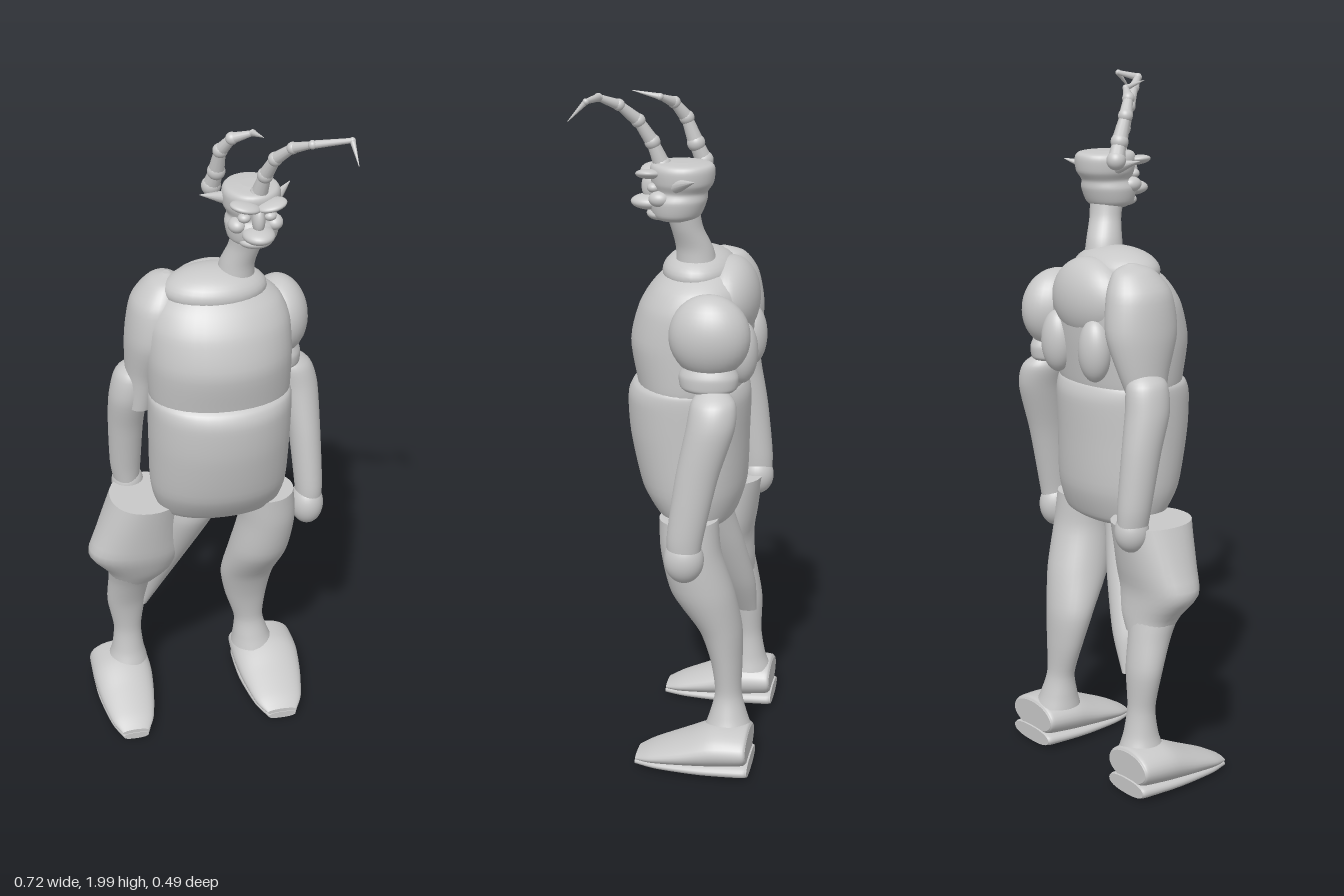
import * as THREE from 'three';

const grey = new THREE.MeshStandardMaterial({ color: 0xc8c8c8 });
grey.name = 'plain grey';

// Closed body through horizontal rings [x, y, z, radiusX, radiusZ], lowest first
function loft(rings, { power = 2, sides = 32, steps = 5 } = {}) {
  const centre = new THREE.CatmullRomCurve3(rings.map(r => new THREE.Vector3(r[0], r[1], r[2])), false, 'catmullrom', 0.4);
  const radii = new THREE.CatmullRomCurve3(rings.map(r => new THREE.Vector3(r[3], 0, r[4])), false, 'catmullrom', 0.4);
  const n = (rings.length - 1) * steps;
  const pos = [], idx = [];
  const round = v => Math.sign(v) * Math.pow(Math.abs(v), 2 / power);
  const addRing = i => {
    const c = centre.getPoint(i / n), r = radii.getPoint(i / n);
    for (let j = 0; j < sides; j++) {
      const t = (j / sides) * Math.PI * 2;
      pos.push(c.x + round(Math.cos(t)) * r.x, c.y, c.z + round(Math.sin(t)) * r.z);
    }
    return c;
  };
  for (let i = 0; i <= n; i++) addRing(i);
  for (let i = 0; i < n; i++) {
    for (let j = 0; j < sides; j++) {
      const a = i * sides + j, b = i * sides + (j + 1) % sides;
      idx.push(a, a + sides, b, b, a + sides, b + sides);
    }
  }
  // Flat end caps with their own vertices
  for (const end of [0, n]) {
    const start = pos.length / 3;
    const c = addRing(end);
    pos.push(c.x, c.y, c.z);
    for (let j = 0; j < sides; j++) {
      const a = start + j, b = start + (j + 1) % sides;
      if (end === 0) idx.push(start + sides, a, b);
      else idx.push(start + sides, b, a);
    }
  }
  const g = new THREE.BufferGeometry();
  g.setAttribute('position', new THREE.Float32BufferAttribute(pos, 3));
  g.setIndex(idx);
  g.computeVertexNormals();
  return g;
}

export function createModel() {
  const model = new THREE.Group();
  model.name = 'hornedFigure';

  const add = (name, geometry, parent = model) => {
    const m = new THREE.Mesh(geometry, grey);
    m.name = name;
    parent.add(m);
    return m;
  };
  const ball = (name, [x, y, z], [rx, ry, rz], parent = model) => {
    const m = add(name, new THREE.SphereGeometry(1, 32, 20), parent);
    m.position.set(x, y, z);
    m.scale.set(rx, ry, rz);
    return m;
  };
  // Tapered round bar between two points
  const bar = (name, from, to, r0, r1, parent = model) => {
    const a = new THREE.Vector3(...from), b = new THREE.Vector3(...to);
    const d = b.clone().sub(a);
    const m = add(name, new THREE.CylinderGeometry(r1, r0, d.length(), 12), parent);
    m.position.copy(a).add(b).multiplyScalar(0.5);
    m.quaternion.setFromUnitVectors(new THREE.Vector3(0, 1, 0), d.normalize());
    return m;
  };

  // Torso: belly, chest and collar
  add('belly', loft([
    [0.03, 0.745, -0.06, 0.155, 0.085],
    [0.03, 0.765, -0.056, 0.182, 0.11],
    [0.027, 0.85, -0.042, 0.203, 0.15],
    [0.027, 1.0, -0.028, 0.208, 0.17],
    [0.028, 1.11, -0.026, 0.21, 0.175],
    [0.028, 1.15, -0.027, 0.208, 0.163],
    [0.028, 1.168, -0.03, 0.198, 0.143],
  ], { power: 2.1, sides: 40 }));
  add('chest', loft([
    [0.028, 1.13, -0.033, 0.2, 0.146],
    [0.028, 1.17, -0.033, 0.207, 0.155],
    [0.026, 1.28, -0.032, 0.211, 0.172],
    [0.026, 1.38, -0.048, 0.207, 0.163],
    [0.025, 1.44, -0.06, 0.182, 0.138],
    [0.02, 1.48, -0.065, 0.13, 0.1],
    [0.02, 1.495, -0.065, 0.07, 0.05],
  ], { power: 2.1, sides: 40 }));
  ball('collar', [0.018, 1.475, -0.053], [0.15, 0.064, 0.105]);
  ball('upperBack', [0.025, 1.395, -0.14], [0.145, 0.12, 0.085]);
  for (const s of [-1, 1]) {
    ball('backPlate', [0.03 + s * 0.088, 1.265, -0.19], [0.052, 0.09, 0.045]);
  }

  // Neck and head
  add('neck', loft([
    [0.075, 1.48, -0.055, 0.058, 0.06],
    [0.082, 1.55, -0.048, 0.05, 0.052],
    [0.1, 1.61, -0.03, 0.047, 0.045],
    [0.11, 1.67, -0.015, 0.05, 0.05],
  ]));
  const head = new THREE.Group();
  head.name = 'head';
  model.add(head);
  add('skull', loft([
    [0.113, 1.635, 0.0, 0.045, 0.045],
    [0.113, 1.65, -0.003, 0.068, 0.068],
    [0.113, 1.69, -0.008, 0.076, 0.08],
    [0.113, 1.715, -0.015, 0.068, 0.075],
    [0.113, 1.74, -0.02, 0.079, 0.086],
    [0.113, 1.775, -0.02, 0.081, 0.09],
    [0.113, 1.792, -0.02, 0.07, 0.08],
    [0.113, 1.797, -0.02, 0.03, 0.03],
  ]), head);
  ball('muzzle', [0.113, 1.682, 0.072], [0.045, 0.022, 0.053], head);
  ball('jaw', [0.113, 1.652, 0.04], [0.048, 0.02, 0.04], head);
  ball('noseBridge', [0.113, 1.725, 0.07], [0.018, 0.04, 0.025], head);
  for (const s of [-1, 1]) {
    const brow = ball('brow', [0.113 + s * 0.036, 1.765, 0.066], [0.044, 0.014, 0.038], head);
    brow.rotation.z = s * 0.2;
    ball('eye', [0.113 + s * 0.036, 1.728, 0.054], [0.018, 0.014, 0.018], head);
    ball('cheek', [0.113 + s * 0.052, 1.7, 0.035], [0.025, 0.022, 0.03], head);
  }
  bar('leftEar', [0.175, 1.74, -0.015], [0.237, 1.765, -0.075], 0.02, 0.001, head);
  bar('rightEar', [0.045, 1.755, -0.03], [-0.033, 1.778, -0.01], 0.02, 0.001, head);

  // Jointed horns, thinning to a point
  const horn = (name, points) => {
    const g = new THREE.Group();
    g.name = name;
    head.add(g);
    for (let i = 0; i < points.length - 1; i++) {
      const [a, b] = [points[i], points[i + 1]];
      bar('hornSegment', a, b, a[3], b[3] * 0.85, g);
      ball('hornJoint', a, Array(3).fill(a[3] * 1.1), g);
    }
  };
  horn('leftHorn', [
    [0.122, 1.785, 0.035, 0.024], [0.132, 1.85, 0.06, 0.02], [0.15, 1.91, 0.095, 0.018],
    [0.185, 1.957, 0.14, 0.015], [0.225, 1.982, 0.187, 0.011], [0.33, 1.988, 0.196, 0.008],
    [0.336, 1.935, 0.245, 0.001],
  ]);
  horn('rightHorn', [
    [0.01, 1.78, -0.06, 0.025], [0.02, 1.83, -0.04, 0.023], [0.025, 1.9, -0.015, 0.019],
    [0.05, 1.945, 0.015, 0.016], [0.1, 1.968, 0.045, 0.009], [0.111, 1.985, 0.12, 0.001],
  ]);

  // Left arm
  ball('leftShoulder', [0.22, 1.335, -0.115], [0.085, 0.118, 0.114]);
  add('leftCuff', loft([
    [0.23, 1.185, -0.115, 0.05, 0.07], [0.23, 1.195, -0.115, 0.055, 0.08],
    [0.23, 1.225, -0.115, 0.055, 0.084], [0.23, 1.25, -0.115, 0.045, 0.075],
  ]));
  add('leftForearm', loft([
    [0.312, 0.71, -0.06, 0.038, 0.045],
    [0.312, 0.78, -0.065, 0.042, 0.052],
    [0.303, 0.95, -0.095, 0.048, 0.06],
    [0.289, 1.09, -0.13, 0.058, 0.068],
    [0.27, 1.16, -0.135, 0.055, 0.062],
    [0.25, 1.2, -0.13, 0.02, 0.03],
  ]));
  ball('leftHand', [0.308, 0.705, -0.06], [0.05, 0.069, 0.057]);

  // Right arm
  add('rightUpperArm', loft([
    [-0.195, 1.09, -0.1, 0.037, 0.045],
    [-0.18, 1.2, -0.11, 0.053, 0.075],
    [-0.155, 1.32, -0.1, 0.078, 0.112],
    [-0.14, 1.43, -0.097, 0.075, 0.1],
    [-0.12, 1.49, -0.1, 0.047, 0.062],
    [-0.11, 1.51, -0.1, 0.01, 0.012],
  ]));
  add('rightForearm', loft([
    [-0.225, 0.78, -0.187, 0.038, 0.045],
    [-0.228, 0.85, -0.182, 0.046, 0.05],
    [-0.228, 1.0, -0.158, 0.052, 0.058],
    [-0.222, 1.11, -0.132, 0.057, 0.066],
    [-0.21, 1.19, -0.125, 0.05, 0.06],
    [-0.195, 1.23, -0.125, 0.015, 0.02],
  ]));
  ball('rightHand', [-0.222, 0.775, -0.187], [0.048, 0.06, 0.05]);

  // Left leg
  add('leftLeg', loft([
    [0.168, 0.125, -0.168, 0.067, 0.068],
    [0.162, 0.165, -0.167, 0.056, 0.054],
    [0.154, 0.23, -0.165, 0.046, 0.039],
    [0.143, 0.33, -0.157, 0.066, 0.047],
    [0.142, 0.43, -0.138, 0.083, 0.064],
    [0.165, 0.55, -0.09, 0.09, 0.092],
    [0.182, 0.68, -0.058, 0.086, 0.087],
    [0.175, 0.78, -0.05, 0.085, 0.085],
  ]));

  // Right leg: slanted inner thigh, flared outer thigh and calf
  add('rightInnerThigh', loft([
    [-0.19, 0.34, -0.165, 0.018, 0.03],
    [-0.155, 0.45, -0.145, 0.045, 0.05],
    [-0.1, 0.6, -0.1, 0.062, 0.068],
    [-0.06, 0.72, -0.06, 0.075, 0.08],
    [-0.04, 0.78, -0.05, 0.08, 0.08],
  ]));
  add('rightCalf', loft([
    [-0.24, 0.125, -0.168, 0.062, 0.066],
    [-0.238, 0.17, -0.167, 0.05, 0.05],
    [-0.238, 0.25, -0.165, 0.043, 0.039],
    [-0.24, 0.36, -0.157, 0.06, 0.048],
    [-0.232, 0.46, -0.13, 0.066, 0.06],
    [-0.22, 0.54, -0.1, 0.085, 0.075],
  ]));
  add('rightOuterThigh', loft([
    [-0.22, 0.47, -0.125, 0.07, 0.06],
    [-0.208, 0.52, -0.108, 0.102, 0.075],
    [-0.222, 0.59, -0.09, 0.141, 0.088],
    [-0.21, 0.66, -0.09, 0.131, 0.1],
    [-0.187, 0.785, -0.09, 0.106, 0.118],
  ], { power: 2.15, steps: 3 }));

  // Shoes: lofted from heel to toe, with a sole
  for (const [side, x, w] of [['left', 0.205, 0.104], ['right', -0.263, 0.093]]) {
    // Rows are [z, middle height, half width, half height]
    const alongZ = (rows, power) => loft(rows.map(([z, y, rx, ry]) => [x, z, -y, rx * w, ry]), { power }).rotateX(Math.PI / 2);
    add(side + 'Shoe', alongZ([
      [-0.237, 0.088, 0.9, 0.044], [-0.222, 0.088, 0.97, 0.055], [-0.13, 0.082, 1, 0.06],
      [-0.04, 0.061, 0.9, 0.042], [0.05, 0.04, 0.7, 0.024], [0.098, 0.028, 0.45, 0.01],
    ], 2));
    add(side + 'Sole', alongZ([
      [-0.242, 0.03, 0.84, 0.023], [-0.22, 0.03, 0.9, 0.025], [-0.1, 0.026, 0.9, 0.022],
      [0.03, 0.02, 0.7, 0.016], [0.1, 0.015, 0.42, 0.011],
    ], 2.4));
  }

  return model;
}
